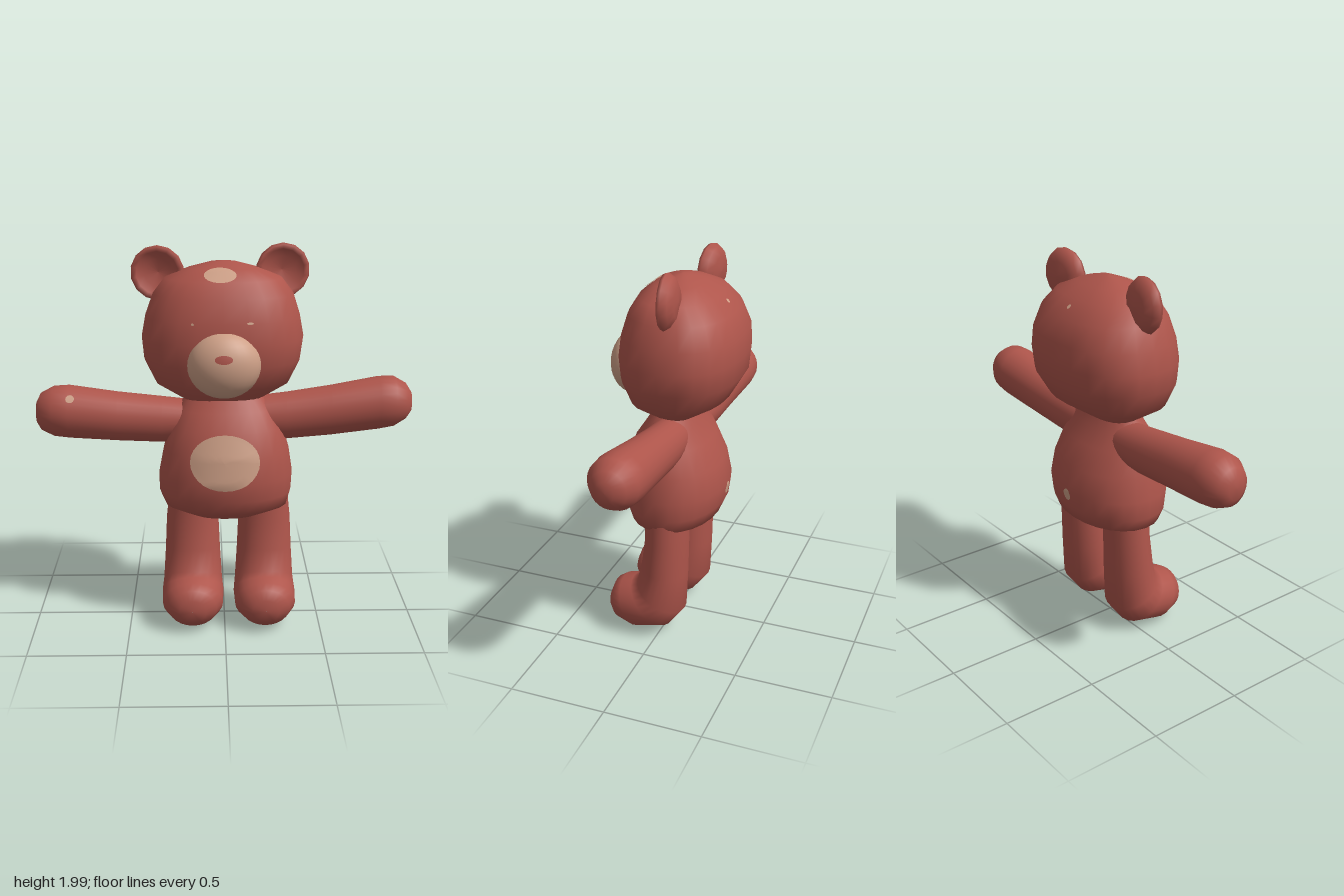
import * as THREE from 'three';

const fur = new THREE.MeshStandardMaterial({ color: 0xae554b });
fur.name = 'redBrownFur';
const tan = new THREE.MeshStandardMaterial({ color: 0xcd9f86 });
tan.name = 'tanFur';

const SEG = 24;
const spow = (v, p) => Math.sign(v) * Math.abs(v) ** p;

// Skin over rings [x0, x1, frontY, frontZ, backY, backZ]; n is the squareness of each ring
function sweep(rings, n = 2) {
  const pos = [], idx = [];
  rings.forEach(([x0, x1, fy, fz, by, bz], i) => {
    for (let j = 0; j < SEG; j++) {
      const a = (j / SEG) * Math.PI * 2;
      const c = spow(Math.cos(a), 2 / n), s = spow(Math.sin(a), 2 / n);
      pos.push((x0 + x1) / 2 + (c * (x1 - x0)) / 2,
        (fy + by) / 2 + (s * (fy - by)) / 2,
        (fz + bz) / 2 + (s * (fz - bz)) / 2);
      if (i === rings.length - 1) continue;
      const k = (j + 1) % SEG, p = i * SEG, q = p + SEG;
      idx.push(p + j, q + j, p + k, p + k, q + j, q + k);
    }
  });
  const g = new THREE.BufferGeometry();
  g.setAttribute('position', new THREE.Float32BufferAttribute(pos, 3));
  g.setIndex(idx);
  g.computeVertexNormals();
  return g;
}

// Level rows [y, x0, x1, frontZ, backZ] to rings
const level = (rows) => rows.map(([y, x0, x1, f, b]) => [x0, x1, y, f, y, b]);

// Front (side 1) or back (side -1) depth of a skin made from level rows
const depthOf = (rows, n, side) => (x, y) => {
  let i = 0;
  while (i < rows.length - 2 && rows[i + 1][0] < y) i++;
  const t = (y - rows[i][0]) / (rows[i + 1][0] - rows[i][0]);
  const [, x0, x1, f, b] = rows[i].map((v, k) => v + (rows[i + 1][k] - v) * t);
  const u = Math.min(1, Math.abs((2 * x - x0 - x1) / (x1 - x0)));
  return (f + b) / 2 + ((side * (f - b)) / 2) * (1 - u ** n) ** (1 / n);
};

// Thin oval marking laid on a surface
function patch(depth, cx, cy, rx, ry, side = 1) {
  const g = new THREE.RingGeometry(0.001, 1, 28, 6);
  const p = g.attributes.position;
  for (let i = 0; i < p.count; i++) {
    const x = cx + side * rx * p.getX(i), y = cy + ry * p.getY(i);
    p.setXYZ(i, x, y, depth(x, y) + side * 0.006);
  }
  g.computeVertexNormals();
  return g;
}

const HEAD_N = 2.35, BODY_N = 2.1;
const headRows = [
  [1.18, -0.02, 0, -0.02, -0.04], [1.195, -0.18, 0.16, 0.07, -0.11], [1.30, -0.35, 0.33, 0.21, -0.27],
  [1.42, -0.41, 0.39, 0.255, -0.34], [1.53, -0.42, 0.405, 0.262, -0.35], [1.64, -0.40, 0.385, 0.25, -0.345],
  [1.75, -0.36, 0.35, 0.215, -0.30], [1.83, -0.30, 0.29, 0.165, -0.22], [1.88, -0.18, 0.17, 0.10, -0.14],
  [1.91, -0.07, 0.06, 0.02, -0.06], [1.915, -0.01, -0.009, -0.019, -0.02],
];
const bodyRows = [
  [0.57, -0.02, 0.02, 0.01, -0.02], [0.585, -0.17, 0.18, 0.10, -0.11], [0.65, -0.31, 0.33, 0.215, -0.23],
  [0.72, -0.34, 0.35, 0.24, -0.26], [0.82, -0.34, 0.355, 0.26, -0.275], [0.95, -0.315, 0.335, 0.24, -0.25],
  [1.07, -0.285, 0.30, 0.20, -0.19], [1.16, -0.24, 0.25, 0.14, -0.14], [1.25, -0.19, 0.18, 0.09, -0.11],
];

// Arm rows [distance out, bottom y, top y, frontZ, backZ]
function armGeometry(side, rows) {
  const g = sweep(rows.map(([d, lo, hi, f, b]) =>
    side > 0 ? [-hi, -lo, d, f, d, b] : [lo, hi, d, f, d, b]));
  return g.rotateZ((-side * Math.PI) / 2);
}
const leftArm = [
  [0.10, 1.00, 1.21, 0.08, -0.12], [0.32, 0.99, 1.235, 0.085, -0.13], [0.55, 1.01, 1.27, 0.095, -0.14],
  [0.80, 1.04, 1.315, 0.105, -0.16], [0.88, 1.055, 1.315, 0.10, -0.155], [0.94, 1.09, 1.28, 0.06, -0.12],
  [0.968, 1.13, 1.235, 0.02, -0.07], [0.97, 1.18, 1.181, -0.025, -0.026],
];
const rightArm = [
  [0.10, 1.00, 1.19, 0.08, -0.12], [0.32, 0.975, 1.215, 0.085, -0.13], [0.55, 0.985, 1.24, 0.095, -0.14],
  [0.80, 1.0, 1.275, 0.105, -0.16], [0.88, 1.01, 1.27, 0.10, -0.155], [0.945, 1.04, 1.235, 0.06, -0.12],
  [0.968, 1.08, 1.19, 0.02, -0.07], [0.97, 1.14, 1.141, -0.025, -0.026],
];

// Leg from toe to hip: [inner offset, outer offset, frontY, frontZ, backY, backZ]
const legRings = [
  [-0.001, 0.001, 0.141, 0.285, 0.14, 0.285], [-0.07, 0.07, 0.20, 0.285, 0.08, 0.28],
  [-0.125, 0.125, 0.25, 0.265, 0.035, 0.225], [-0.158, 0.158, 0.275, 0.225, 0.01, 0.12],
  [-0.163, 0.163, 0.285, 0.17, 0.05, -0.045], [-0.155, 0.155, 0.30, 0.135, 0.15, -0.12],
  [-0.145, 0.145, 0.41, 0.11, 0.36, -0.13], [-0.137, 0.137, 0.56, 0.09, 0.56, -0.135],
  [-0.12, 0.12, 0.72, 0.09, 0.72, -0.13],
];

// Dished ear turned about its own axis
function earGeometry() {
  const pts = [[0, -0.05], [0.075, -0.045], [0.118, -0.022], [0.138, 0.008], [0.13, 0.026],
    [0.108, 0.018], [0.07, -0.008], [0, -0.018]].map(([x, y]) => new THREE.Vector2(x, y));
  return new THREE.LatheGeometry(pts, 14).rotateX(Math.PI / 2);
}

export function createModel() {
  const bear = new THREE.Group();
  bear.name = 'bear';
  const add = (name, geometry, material) => {
    const m = new THREE.Mesh(geometry, material);
    m.name = name;
    bear.add(m);
    return m;
  };

  add('head', sweep(level(headRows), HEAD_N), fur);
  add('body', sweep(level(bodyRows), BODY_N), fur);
  add('leftArm', armGeometry(1, leftArm), fur);
  add('rightArm', armGeometry(-1, rightArm), fur);

  // Legs and ears
  for (const [side, legX, earX, earY] of [['left', 0.212, 0.295, 1.86], ['right', -0.168, -0.335, 1.848]]) {
    add(side + 'Leg', sweep(legRings), fur).position.x = legX;
    const ear = add(side + 'Ear', earGeometry(), fur);
    ear.position.set(earX, earY, -0.065);
    ear.rotation.y = Math.sign(earX) * 0.12;
  }

  // Muzzle and nose
  const mz = { x: -0.005, y: 1.435, z: 0.22, rx: 0.183, ry: 0.168, rz: 0.128 };
  const muzzle = add('muzzle', new THREE.SphereGeometry(1, 28, 18), tan);
  muzzle.scale.set(mz.rx, mz.ry, mz.rz);
  muzzle.position.set(mz.x, mz.y, mz.z);
  const muzzleDepth = (x, y) =>
    mz.z + mz.rz * Math.sqrt(Math.max(0, 1 - ((x - mz.x) / mz.rx) ** 2 - ((y - mz.y) / mz.ry) ** 2));
  add('nose', patch(muzzleDepth, -0.008, 1.485, 0.044, 0.021), fur);

  // Markings
  const headFront = depthOf(headRows, HEAD_N, 1);
  add('bellyPatch', patch(depthOf(bodyRows, BODY_N, 1), 0, 0.93, 0.177, 0.14), tan);
  add('foreheadPatch', patch(headFront, -0.022, 1.86, 0.08, 0.031), tan);
  add('leftEye', patch(headFront, 0.122, 1.643, 0.016, 0.006), tan);
  add('rightEye', patch(headFront, -0.158, 1.638, 0.007, 0.006), tan);
  add('tailSpot', patch(depthOf(bodyRows, BODY_N, -1), 0.005, 0.8, 0.027, 0.032, -1), tan);
  add('headBackSpot', patch(depthOf(headRows, HEAD_N, -1), -0.01, 1.8, 0.011, 0.009, -1), tan);
  const armDepth = (x, y) => -0.027 + 0.132 * Math.sqrt(1 - ((y - 1.137) / 0.138) ** 2);
  add('armSpot', patch(armDepth, -0.785, 1.228, 0.022, 0.017), tan);

  return bear;
}
